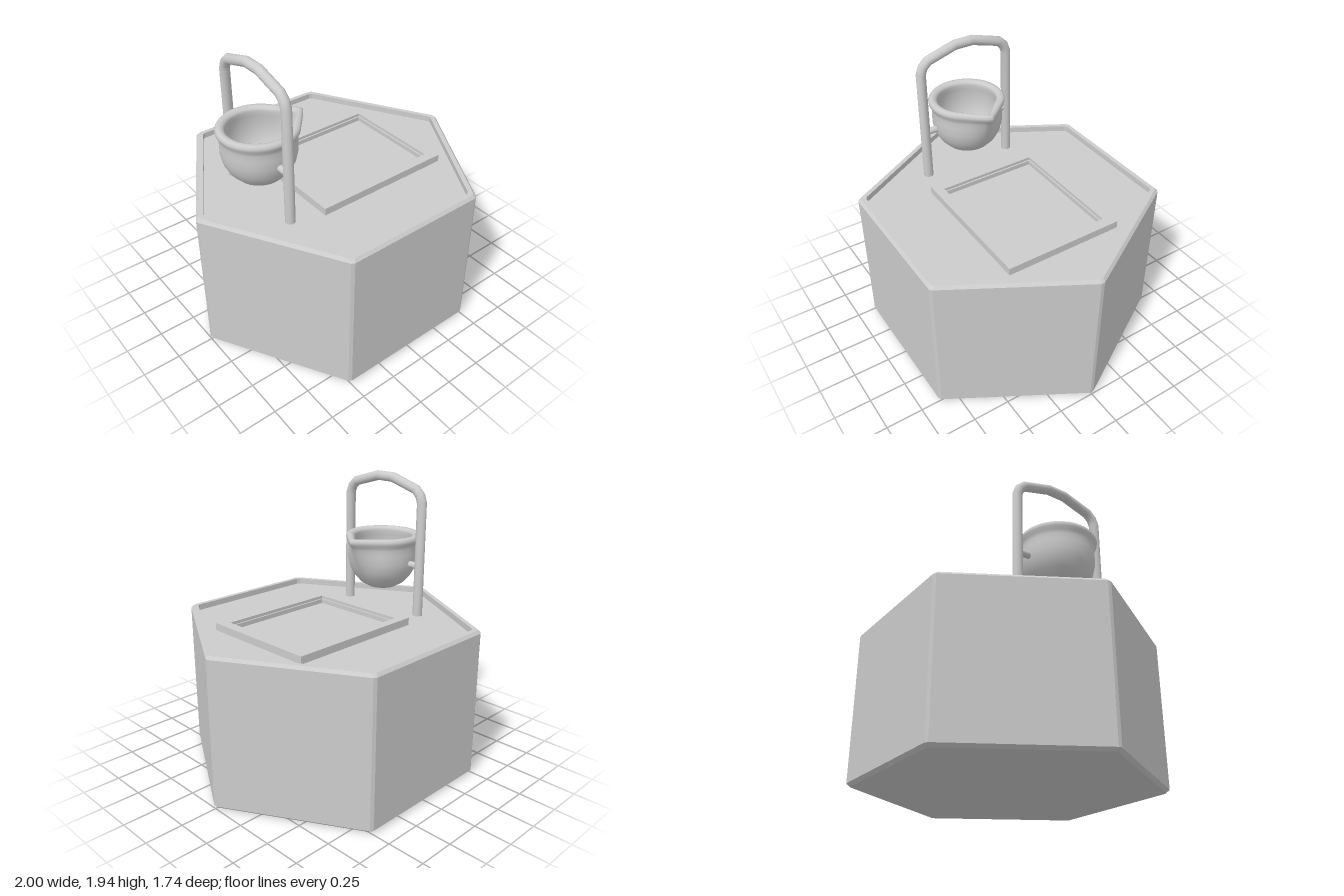
import * as THREE from 'three';
import { mergeVertices, toCreasedNormals } from 'three/addons/utils/BufferGeometryUtils.js';

const grey = new THREE.MeshStandardMaterial({ color: 0xcccccc });
const greyDouble = new THREE.MeshStandardMaterial({ color: 0xcccccc, side: THREE.DoubleSide });
const v2 = (pairs) => pairs.map(([x, y]) => new THREE.Vector2(x, y));

function part(name, geometry, material = grey) {
  const mesh = new THREE.Mesh(geometry, material);
  mesh.name = name;
  return mesh;
}

// Hexagonal block: 12-sided lathe whose vertices pair up into narrow corner chamfers
function hexBlock() {
  const profile = v2([[0, 0], [0.975, 0], [1, 0.02], [1, 1.01], [0.98, 1.03],
    [0.945, 1.03], [0.945, 0.99], [0, 0.99]]);
  const geo = new THREE.LatheGeometry(profile, 12);
  const pos = geo.attributes.position;
  for (let i = 0; i < pos.count; i++) {
    const side = Math.floor(i / profile.length), p = profile[i % profile.length];
    const a = Math.floor(side / 2) * Math.PI / 3 + (side % 2 ? 0.012 : -0.012);
    pos.setXYZ(i, p.x * Math.cos(a), p.y, -p.x * Math.sin(a));
  }
  return toCreasedNormals(geo, 0.2);
}

// Rectangular frame lying flat, given as half sizes of its outline and opening
function flatFrame(w, d, holeW, holeD, bottom, top) {
  const corners = (a, b) => v2([[-a, -b], [a, -b], [a, b], [-a, b]]);
  const shape = new THREE.Shape(corners(w, d));
  shape.holes.push(new THREE.Path(corners(holeW, holeD).reverse()));
  return new THREE.ExtrudeGeometry(shape, { depth: top - bottom, bevelEnabled: false })
    .rotateX(-Math.PI / 2).translate(0.145, bottom, 0);
}

// Path with straight pieces; tube rings fall exactly on its corners
class Polyline extends THREE.Curve {
  constructor(points) { super(); this.points = points; }
  getPoint(t, target = new THREE.Vector3()) {
    const n = this.points.length - 1, f = t * n, i = Math.min(Math.floor(f + 1e-6), n - 1);
    return target.lerpVectors(this.points[i], this.points[i + 1], f - i);
  }
  getPointAt(u, target) { return this.getPoint(u, target); }
  getTangentAt(u, target = new THREE.Vector3()) {
    const p = this.points, n = p.length - 1, i = Math.round(u * n);
    target.set(0, 0, 0);
    if (i > 0) target.add(p[i].clone().sub(p[i - 1]).normalize());
    if (i < n) target.add(p[i + 1].clone().sub(p[i]).normalize());
    return target.normalize();
  }
}

// Arched support, mirrored front to back
function arch() {
  const half = [[0.32, 0.98], [0.32, 1.765], [0.303, 1.812], [0.265, 1.848], [0.065, 1.907]];
  const points = [...half, ...half.map(([z, y]) => [-z, y]).reverse()]
    .map(([z, y]) => new THREE.Vector3(-0.54, y, z));
  return new THREE.TubeGeometry(new Polyline(points), points.length - 1, 0.033, 16);
}

// Round pot with a rolled rim, drawn out into a pouring lip on the +x side
function pot() {
  const outer = [[0, 1.135], [0.06, 1.137], [0.1, 1.148], [0.15, 1.177], [0.195, 1.225], [0.225, 1.28],
    [0.239, 1.34], [0.239, 1.4], [0.237, 1.44], [0.243, 1.465], [0.256, 1.483], [0.258, 1.503], [0.247, 1.519]];
  const inner = [[0.225, 1.521], [0.205, 1.511], [0.199, 1.492], [0.205, 1.46], [0.212, 1.4],
    [0.207, 1.33], [0.185, 1.26], [0.14, 1.205], [0.08, 1.173], [0, 1.165]];
  let geo = new THREE.LatheGeometry(v2([...outer, ...inner]), 72);
  const pos = geo.attributes.position, spread = 0.7;
  for (let i = 0; i < pos.count; i++) {
    const x = pos.getX(i), y = pos.getY(i), z = pos.getZ(i);
    const angle = Math.abs(Math.atan2(z, x)), r = Math.hypot(x, z);
    if (r < 0.01 || angle > spread) continue;
    const lift = THREE.MathUtils.clamp((y - 1.3) / 0.19, 0, 1);
    const s = 1 + 0.077 * lift * (1 - angle / spread) ** 2 / r;
    pos.setXYZ(i, x * s, y, z * s);
  }
  geo.deleteAttribute('uv');
  geo.deleteAttribute('normal');
  geo = mergeVertices(geo, 1e-5);
  geo.computeVertexNormals();
  return geo.translate(-0.53, 0, 0);
}

export function createModel() {
  const model = new THREE.Group();
  model.name = 'potOnHexagonalStand';
  model.add(part('hexagonalBase', hexBlock()));

  // Raised frame with a small inner step
  model.add(part('panelFrame', flatFrame(0.485, 0.408, 0.415, 0.345, 0.985, 1.04)));
  model.add(part('panelFrameStep', flatFrame(0.418, 0.348, 0.404, 0.334, 0.985, 1.02)));

  model.add(part('archSupport', arch()));
  model.add(part('pouringPot', pot(), greyDouble));

  // Pivot pins between the pot and the arch
  for (const side of [-1, 1]) {
    const pin = new THREE.CylinderGeometry(0.023, 0.023, 0.075, 16).rotateX(Math.PI / 2);
    model.add(part(side > 0 ? 'frontPivotPin' : 'backPivotPin', pin.translate(-0.54, 1.335, side * 0.263)));
  }
  return model;
}
